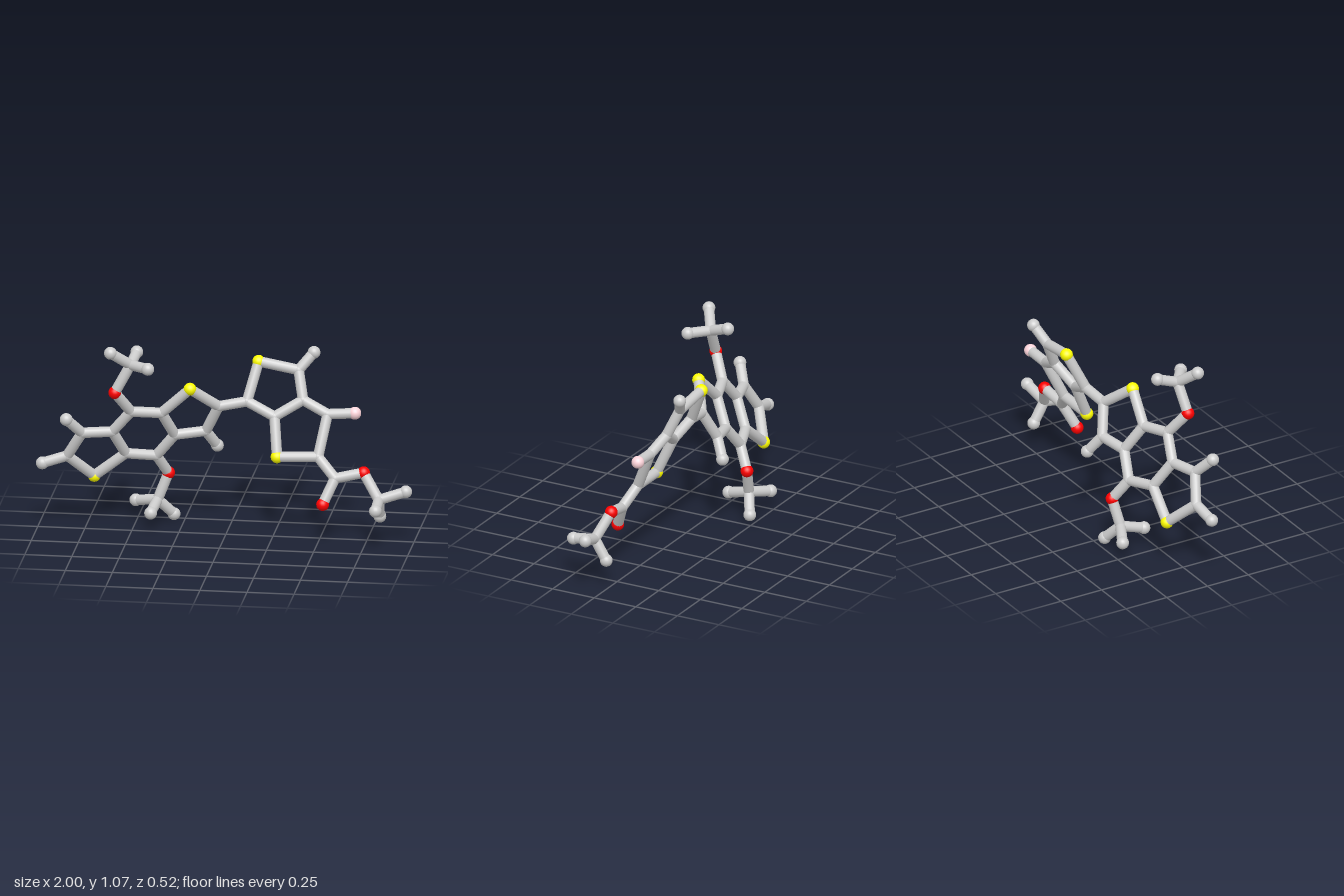
import * as THREE from 'three';

const BOND_R = 0.028, BALL_R = 0.034;
const COLORS = { C: 0xcccccc, H: 0xcccccc, S: 0xffff00, O: 0xff0000, F: 0xffd6dc };
const NAMES = { C: 'carbonJoint', H: 'hydrogenBall', S: 'sulfurBall', O: 'oxygenBall', F: 'fluorineBall' };

// The two fused ring systems are flat: depth follows from x and y
const leftPlane = (x, y) => -0.285 * x + 0.4755 * y - 0.408;
const rightPlane = (x, y) => -0.02 * x - 0.44 * y + 0.228;
const flat = (plane, atoms) => Object.fromEntries(
  Object.entries(atoms).map(([k, [x, y]]) => [k, [x, y, plane(x, y)]]));

// The first letter of each key is the kind of atom
const atoms = {
  // three fused rings on the left
  ...flat(leftPlane, {
    S1: [-0.71, 0.275], C1: [-0.84, 0.41], C2: [-0.755, 0.553], C3: [-0.6, 0.553],
    C4: [-0.54, 0.41], C5: [-0.497, 0.677], C6: [-0.342, 0.66], C7: [-0.283, 0.516],
    C8: [-0.385, 0.388], S2: [-0.187, 0.805], C9: [-0.048, 0.687], C10: [-0.123, 0.532],
    H1: [-0.97, 0.37], H2: [-0.83, 0.643], H3: [-0.07, 0.436],
    O1: [-0.572, 0.803], O2: [-0.33, 0.273],
  }),
  // upper and lower methoxy groups
  C11: [-0.49, 0.955, 0.122], H4: [-0.588, 1.035, 0.187], H5: [-0.387, 0.96, 0.203], H6: [-0.472, 0.993, 0.01],
  C12: [-0.385, 0.13, -0.165], H7: [-0.51, 0.102, -0.227], H8: [-0.405, 0.093, -0.033], H9: [-0.305, 0.038, -0.215],
  // two fused rings on the right, with the ester arm
  ...flat(rightPlane, {
    C13: [0.1, 0.714], S3: [0.15, 0.91], C14: [0.364, 0.875], C15: [0.396, 0.73],
    C16: [0.25, 0.645], S4: [0.275, 0.45], C17: [0.492, 0.457], C18: [0.53, 0.666],
    F1: [0.674, 0.675], H10: [0.44, 0.963],
    C19: [0.588, 0.356], O3: [0.53, 0.227], O4: [0.738, 0.388],
  }),
  C20: [0.825, 0.257, 0.093], H11: [0.966, 0.302, 0.073], H12: [0.822, 0.147, 0.026], H13: [0.825, 0.235, 0.222],
};

// Each chain joins its atoms one after another
const chains = {
  leftRings: [
    'S1 C1 C2 C3 C4 S1', 'C3 C5 C6 C7 C8 C4', 'C6 S2 C9 C10 C7',
    'C1 H1', 'C2 H2', 'C10 H3'],
  upperMethoxy: ['C5 O1 C11 H4', 'H5 C11 H6'],
  lowerMethoxy: ['C8 O2 C12 H7', 'H8 C12 H9'],
  linkBond: ['C9 C13'],
  rightRings: ['C13 S3 C14 C15 C16 C13', 'C16 S4 C17 C18 C15', 'C14 H10', 'C18 F1'],
  esterArm: ['C17 C19 O4 C20 H11', 'C19 O3', 'H12 C20 H13'],
};

export function createModel() {
  const model = new THREE.Group();
  model.name = 'molecule';
  const mats = {};
  for (const k in COLORS) mats[k] = new THREE.MeshStandardMaterial({ color: COLORS[k] });

  const ball = new THREE.SphereGeometry(BALL_R, 20, 14);
  const joint = new THREE.SphereGeometry(BOND_R * 1.04, 20, 14);
  const rod = new THREE.CylinderGeometry(BOND_R, BOND_R, 1, 16, 1, true);
  const up = new THREE.Vector3(0, 1, 0);
  const at = (key) => new THREE.Vector3(...atoms[key]);

  // atoms
  const atomGroup = new THREE.Group();
  atomGroup.name = 'atoms';
  for (const key in atoms) {
    const kind = key[0];
    const mesh = new THREE.Mesh(kind === 'C' ? joint : ball, mats[kind]);
    mesh.name = NAMES[kind];
    mesh.position.copy(at(key));
    atomGroup.add(mesh);
  }
  model.add(atomGroup);

  // bonds
  for (const [name, list] of Object.entries(chains)) {
    const group = new THREE.Group();
    group.name = name;
    for (const chain of list) {
      const keys = chain.split(' ');
      for (let i = 1; i < keys.length; i++) {
        const a = at(keys[i - 1]), b = at(keys[i]);
        const dir = b.clone().sub(a);
        const mesh = new THREE.Mesh(rod, mats.C);
        mesh.name = 'bond';
        mesh.scale.y = dir.length();
        mesh.position.copy(a).lerp(b, 0.5);
        mesh.quaternion.setFromUnitVectors(up, dir.normalize());
        group.add(mesh);
      }
    }
    model.add(group);
  }
  return model;
}
